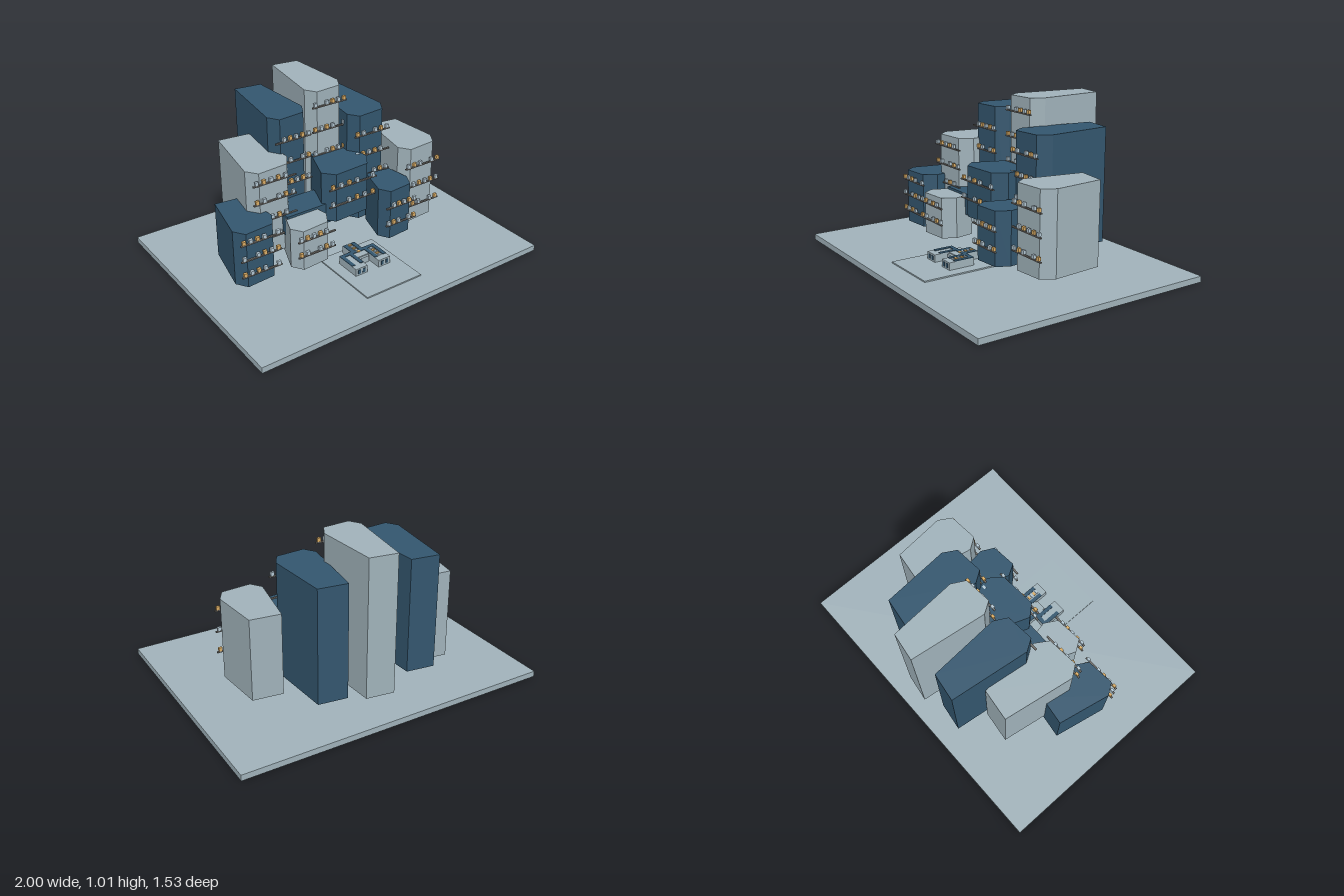
import * as THREE from 'three';

const mat = (name, color) => {
  const m = new THREE.MeshStandardMaterial({ color });
  m.name = name;
  return m;
};
const pale = mat('pale grey blue', 0xa0b2ba);
const navy = mat('deep blue', 0x33566e);
const rail = mat('rail grey', 0x6e6c68);
const amber = mat('amber light', 0xdcae66);
const glass = mat('pale glass', 0xb4c8d4);

// Box given by its limits on each axis
function box(name, m, x0, x1, y0, y1, z0, z1) {
  const mesh = new THREE.Mesh(new THREE.BoxGeometry(x1 - x0, y1 - y0, z1 - z0), m);
  mesh.position.set((x0 + x1) / 2, (y0 + y1) / 2, (z0 + z1) / 2);
  mesh.name = name;
  return mesh;
}

// Six-sided tower block: narrow skewed back, chamfered front corners
function towerBlock(m, x0, x1, z0, z1, y0, y1) {
  const w = x1 - x0;
  const shape = new THREE.Shape();
  shape.moveTo(x0 + 0.25 * w, -z0);
  shape.lineTo(x0 + 0.91 * w, -z0 - 0.025);
  shape.lineTo(x1, -z1 + 0.095);
  shape.lineTo(x0 + 0.83 * w, -z1 + 0.014);
  shape.lineTo(x0 + 0.17 * w, -z1);
  shape.lineTo(x0, -z1 + 0.07);
  const geo = new THREE.ExtrudeGeometry(shape, { depth: y1 - y0, bevelEnabled: false });
  geo.rotateX(-Math.PI / 2);
  const mesh = new THREE.Mesh(geo, m);
  mesh.position.y = y0;
  mesh.name = 'towerBlock';
  return mesh;
}

// Tower with a thin ledge and a row of small lit windows on each floor
function tower(name, m, seed, [x0, x1, z0, z1, y0, y1], top, step, count) {
  const g = new THREE.Group();
  g.name = name;
  g.add(towerBlock(m, x0, x1, z0, z1, y0, y1));
  const left = x0 + 0.005, right = x1 - 0.005, z = z1 + 0.008;
  for (let f = 0; f < count; f++) {
    const y = top - f * step;
    g.add(box('ledge', rail, left, right, y - 0.004, y + 0.004, z - 0.006, z + 0.006));
    for (let i = 0; i < 6; i++) {
      const k = (seed * 5 + f * 3 + i * 7) % 6;
      if (k === 4) continue;
      const x = left + (0.08 + i * 0.168) * (right - left);
      g.add(box('window', k % 2 ? glass : amber, x - 0.011, x + 0.011, y + 0.006, y + 0.028, z - 0.008, z + 0.008));
    }
  }
  return g;
}

// Small fork-shaped pavilion
function createPavilion() {
  const g = new THREE.Group();
  g.name = 'pavilion';
  g.add(box('stem', pale, -0.042, 0.042, 0.045, 0.092, 0.145, 0.23));
  g.add(box('crossHall', pale, -0.128, 0.128, 0.045, 0.092, 0.23, 0.3));
  g.add(box('crossRoof', navy, -0.128, 0.128, 0.092, 0.096, 0.23, 0.255));
  g.add(box('porch', pale, -0.035, 0.035, 0.045, 0.085, 0.3, 0.315));
  for (const s of [-1, 1]) {
    const side = (name, m, a, b, ...rest) =>
      g.add(box(name, m, Math.min(s * a, s * b), Math.max(s * a, s * b), ...rest));
    side('wing', pale, 0.042, 0.128, 0.045, 0.092, 0.3, 0.4);
    side('wingRoofInner', navy, 0.042, 0.066, 0.092, 0.096, 0.255, 0.36);
    side('wingRoofOuter', navy, 0.104, 0.128, 0.092, 0.096, 0.255, 0.36);
    side('stemRoof', navy, 0.016, 0.042, 0.092, 0.096, 0.15, 0.23);
    side('wingDoor', navy, 0.06, 0.078, 0.055, 0.082, 0.4, 0.403);
    side('wingDoor', navy, 0.094, 0.112, 0.055, 0.082, 0.4, 0.403);
  }
  // Skylight strips on the stem and one wing
  for (let i = 0; i < 5; i++) {
    const z = 0.16 + i * 0.021;
    g.add(box('skylight', i % 2 ? glass : amber, -0.011, 0.011, 0.092, 0.098, z, z + 0.013));
    g.add(box('skylight', i % 2 ? amber : glass, 0.074, 0.096, 0.092, 0.098, z + 0.1, z + 0.113));
  }
  return g;
}

export function createModel() {
  const model = new THREE.Group();
  model.name = 'towerCluster';

  // Ground slab and forecourt
  model.add(box('groundSlab', pale, -1, 1, 0, 0.037, -0.767, 0.767));
  model.add(box('forecourt', pale, -0.2, 0.2, 0.037, 0.045, 0.125, 0.607));

  // Towers: limits in x, z and y, then top ledge height, floor step and floor count
  model.add(
    tower('farLeftTower', navy, 0, [-0.785, -0.51, -0.205, 0.195, 0.1, 0.453], 0.39, 0.105, 3),
    tower('leftTower', pale, 1, [-0.605, -0.305, -0.47, 0.045, 0.15, 0.71], 0.64, 0.122, 4),
    tower('rearLeftTower', navy, 2, [-0.365, -0.105, -0.65, -0.093, 0.23, 0.93], 0.785, 0.142, 4),
    tower('tallestTower', pale, 3, [-0.07, 0.19, -0.68, -0.143, 0.16, 1.015], 0.92, 0.16, 4),
    tower('rearRightTower', navy, 4, [0.155, 0.43, -0.555, -0.018, 0.13, 0.845], 0.715, 0.14, 3),
    tower('farRightTower', pale, 5, [0.42, 0.705, -0.285, 0.158, 0.1, 0.615], 0.49, 0.138, 3),
    tower('centralTower', navy, 6, [-0.145, 0.215, -0.175, 0.138, 0.28, 0.6], 0.51, 0.115, 2),
    tower('frontLeftTower', pale, 7, [-0.445, -0.175, 0.01, 0.257, 0.12, 0.38], 0.32, 0.103, 2),
    tower('frontRightTower', navy, 8, [0.187, 0.43, -0.005, 0.268, 0.115, 0.445], 0.335, 0.12, 2),
  );

  // Low link block between the left and central towers
  model.add(box('linkBlock', navy, -0.4, -0.09, 0.26, 0.395, -0.1, 0.09));

  model.add(createPavilion());
  return model;
}
